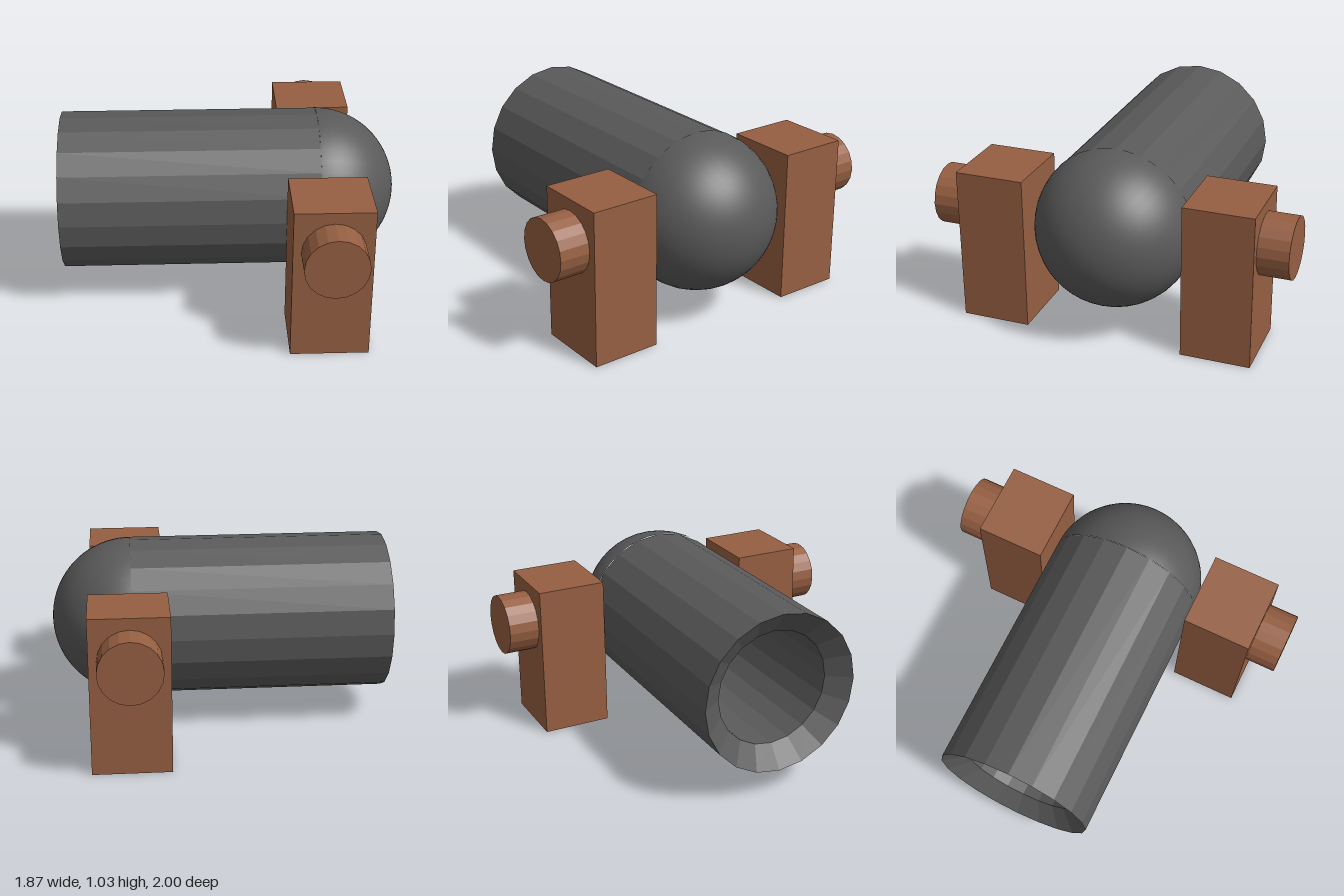
import * as THREE from 'three';

export function createModel() {
  const model = new THREE.Group();
  const iron = new THREE.MeshStandardMaterial({ name: 'dark iron', color: 0x5a5a5a });
  const wood = new THREE.MeshStandardMaterial({ name: 'brown wood', color: 0x965f42 });

  const add = (name, geometry, material, x, y, z) => {
    const mesh = new THREE.Mesh(geometry, material);
    mesh.name = name;
    mesh.position.set(x, y, z);
    model.add(mesh);
    return mesh;
  };
  const faceted = (geometry) => {
    const flat = geometry.toNonIndexed();
    flat.computeVertexNormals();
    return flat;
  };

  const sides = 20, radius = 0.443, axisY = 0.586, muzzleX = -0.937, breechX = 0.49;

  // Barrel wall, flared muzzle and hollow bore, turned around the x axis
  const profile = [
    [0, breechX], [0.32, breechX], [0.32, muzzleX + 0.09],
    [radius, muzzleX], [radius, breechX],
  ].map(([r, x]) => new THREE.Vector2(r, -x)); // lathe +y becomes -x
  const barrel = new THREE.LatheGeometry(profile, sides);
  barrel.rotateZ(Math.PI / 2);
  // Keep the wound faces pointing outward from the metal
  const index = barrel.index.array;
  for (let i = 0; i < index.length; i += 3) {
    [index[i + 1], index[i + 2]] = [index[i + 2], index[i + 1]];
  }
  add('barrel', faceted(barrel), iron, 0, axisY, 0);

  // Rounded breech
  const dome = new THREE.SphereGeometry(radius, 40, 20, 0, Math.PI * 2, 0, Math.PI / 2);
  dome.rotateZ(-Math.PI / 2);
  add('breechDome', dome, iron, breechX, axisY, 0);

  // Support block and trunnion on each side
  for (const [label, side] of [['front', 1], ['back', -1]]) {
    add(label + 'Support', new THREE.BoxGeometry(0.425, 0.865, 0.385), wood,
      0.512, 0.4325, side * 0.6375);
    const pin = new THREE.CylinderGeometry(0.17, 0.17, 0.17, sides);
    pin.rotateX(Math.PI / 2);
    add(label + 'Trunnion', faceted(pin), wood, 0.512, 0.633, side * 0.915);
  }
  return model;
}
